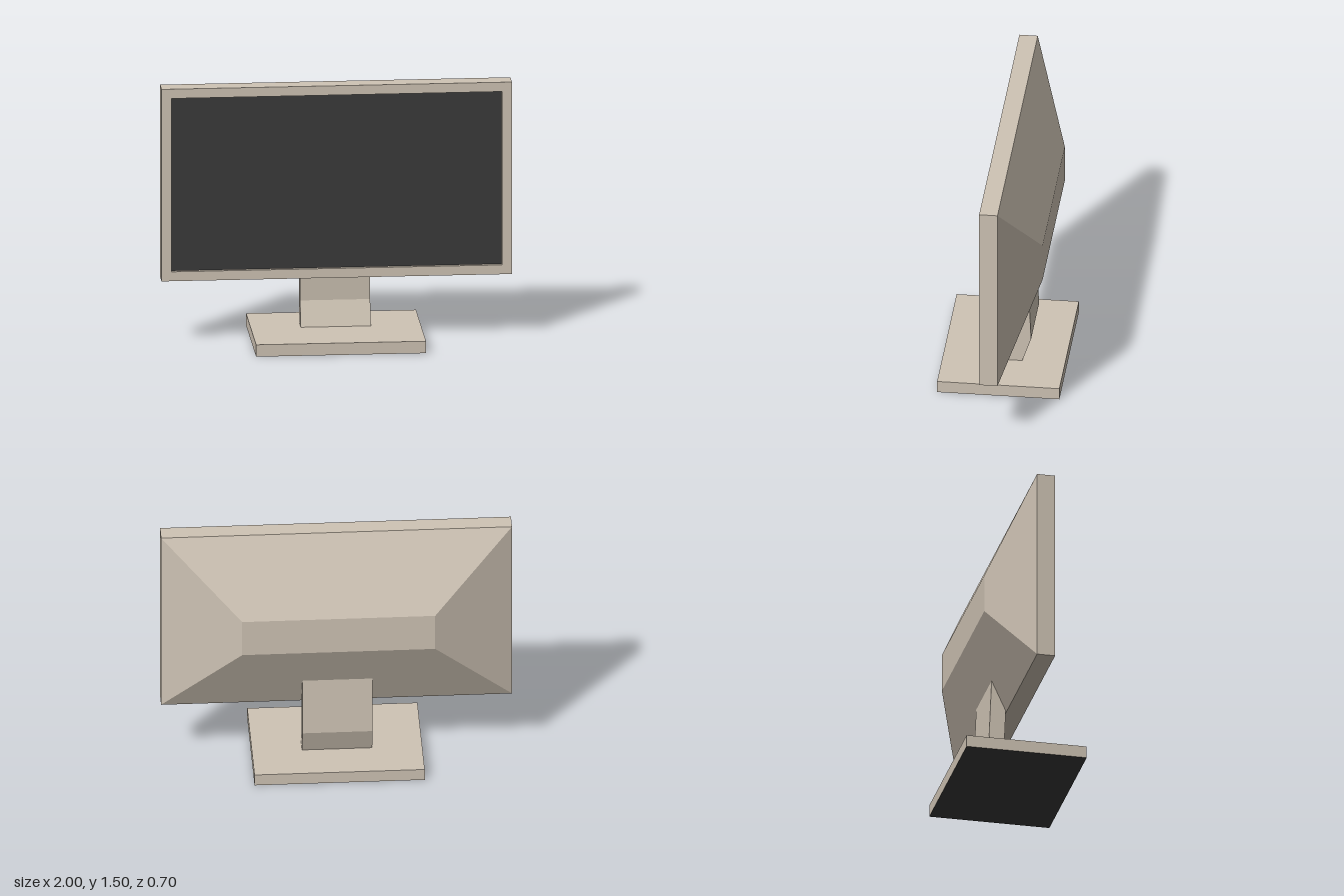
import * as THREE from 'three';

const casing = new THREE.MeshStandardMaterial({ name: 'beige casing', color: 0xcfc4b5 });
const dark = new THREE.MeshStandardMaterial({ name: 'dark glass and rubber', color: 0x3a3a3a });

function addPart(group, name, geometry, material, x = 0, y = 0, z = 0) {
  const mesh = new THREE.Mesh(geometry, material);
  mesh.name = name;
  mesh.position.set(x, y, z);
  group.add(mesh);
  return mesh;
}

const rectangle = (w, h, PathType) => new PathType([
  new THREE.Vector2(-w / 2, -h / 2), new THREE.Vector2(w / 2, -h / 2),
  new THREE.Vector2(w / 2, h / 2), new THREE.Vector2(-w / 2, h / 2),
]);

export function createModel() {
  const model = new THREE.Group();
  model.name = 'monitor';
  const midY = 0.94, width = 2, height = 1.13;
  const backZ = -0.055, frontZ = 0.05;

  // Base slab with a dark underside
  addPart(model, 'base', new THREE.BoxGeometry(0.97, 0.07, 0.7),
    [casing, casing, casing, dark, casing, casing], 0, 0.035, 0);

  // Bent stem: side profile (z, y) extruded across x
  const profile = new THREE.Shape([
    [-0.015, 0.07], [-0.105, 0.07], [-0.155, 0.215],
    [-0.139, 0.6], [-0.049, 0.6], [-0.065, 0.215],
  ].map(([z, y]) => new THREE.Vector2(z, y)));
  const stem = new THREE.ExtrudeGeometry(profile, { depth: 0.4, bevelEnabled: false });
  stem.rotateY(-Math.PI / 2).translate(0.2, 0, 0);
  addPart(model, 'stem', stem, casing);

  // Bezel frame around the recessed screen
  const outline = rectangle(width, height, THREE.Shape);
  outline.holes.push(rectangle(1.885, 1.02, THREE.Path));
  addPart(model, 'bezel', new THREE.ExtrudeGeometry(outline,
    { depth: frontZ - backZ, bevelEnabled: false }), casing, 0, midY, backZ);
  addPart(model, 'screen', new THREE.BoxGeometry(1.885, 1.02, 0.075), dark, 0, midY, -0.01);

  // Tapered rear shell: a box whose back face is shrunk
  const depth = 0.207;
  const shell = new THREE.BoxGeometry(width, height, depth);
  const p = shell.attributes.position;
  for (let i = 0; i < p.count; i++) {
    if (p.getZ(i) < 0) p.setXY(i, Math.sign(p.getX(i)) * 0.55, Math.sign(p.getY(i)) * 0.112);
  }
  shell.computeVertexNormals();
  addPart(model, 'rearShell', shell, casing, 0, midY, backZ - depth / 2);

  return model;
}
